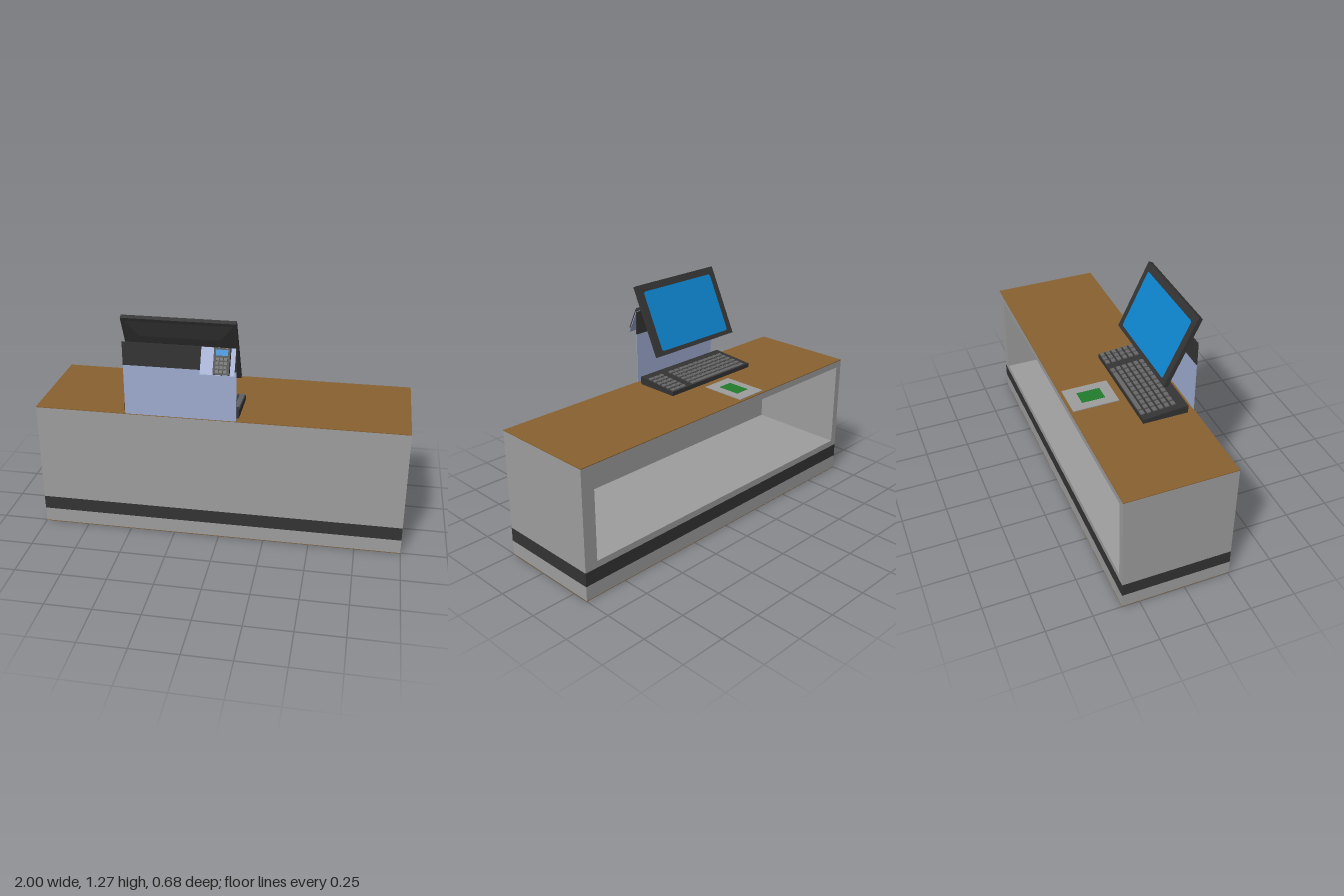
import * as THREE from 'three';
import { mergeGeometries } from 'three/addons/utils/BufferGeometryUtils.js';

const mat = (name, color) => {
  const m = new THREE.MeshStandardMaterial({ color });
  m.name = name;
  return m;
};

export function createModel() {
  const grey = mat('counterGrey', 0x9e9e9e);
  const dark = mat('darkPlastic', 0x343434);
  const wood = mat('wood', 0x89612f);
  const panelBlue = mat('panelBlue', 0xa0add2);
  const screenBlue = mat('screenBlue', 0x0e85cd);
  const keyGrey = mat('keyGrey', 0x666666);
  const green = mat('padGreen', 0x227d2c);

  const model = new THREE.Group();
  model.name = 'serviceCounter';

  const group = (name, parent = model) => {
    const g = new THREE.Group();
    g.name = name;
    parent.add(g);
    return g;
  };
  const add = (name, geo, material, parent) => {
    const mesh = new THREE.Mesh(geo, material);
    mesh.name = name;
    parent.add(mesh);
    return mesh;
  };
  // Box given by its lower and upper bounds on each axis
  const boxGeo = (x0, x1, y0, y1, z0, z1) =>
    new THREE.BoxGeometry(x1 - x0, y1 - y0, z1 - z0)
      .translate((x0 + x1) / 2, (y0 + y1) / 2, (z0 + z1) / 2);
  const box = (name, material, parent, ...b) => add(name, boxGeo(...b), material, parent);

  // Counter: plinth, stripe and a hollow cabinet open at the back
  const BACK = -0.345, FRONT = 0.255;
  const counter = group('counter');
  box('underside', wood, counter, -1, 1, 0, 0.003, BACK, FRONT);
  box('plinth', grey, counter, -1, 1, 0.003, 0.083, BACK, FRONT);
  box('stripe', dark, counter, -1, 1, 0.083, 0.16, BACK, FRONT);
  box('cabinetFloor', grey, counter, -1, 1, 0.16, 0.197, BACK, FRONT);
  box('cabinetRoof', grey, counter, -1, 1, 0.68, 0.716, BACK, FRONT);
  box('leftWall', grey, counter, 0.925, 1, 0.197, 0.68, BACK, FRONT);
  box('rightWall', grey, counter, -1, -0.96, 0.197, 0.68, BACK, FRONT);
  box('frontWall', grey, counter, -0.96, 0.925, 0.197, 0.68, 0.215, FRONT);
  box('worktop', wood, counter, -1, 1, 0.716, 0.72, BACK, FRONT);

  // Pad on the worktop
  const pad = group('counterPad');
  box('padPlate', grey, pad, -0.295, -0.11, 0.72, 0.724, -0.33, -0.075);
  box('padCentre', green, pad, -0.245, -0.16, 0.724, 0.726, -0.263, -0.135);

  // Upright divider with a dark upper band
  const divider = group('divider');
  box('dividerPanel', panelBlue, divider, -0.5, 0.097, 0.72, 1.0, 0.252, 0.256);
  box('dividerBand', dark, divider, -0.5, 0.097, 1.0, 1.128, 0.251, 0.257);

  // Monitor: leans forward, screen faces back and up
  const monitor = group('monitor');
  monitor.position.set(-0.2, 1.087, 0.175);
  monitor.rotation.x = 0.445;
  box('monitorCase', dark, monitor, -0.298, 0.298, -0.2, 0.2, -0.012, 0.012);

  const shell = new THREE.BoxGeometry(0.56, 0.36, 0.012);
  const p = shell.attributes.position;
  for (let i = 0; i < p.count; i++) {
    if (p.getZ(i) > 0) p.setXY(i, p.getX(i) * 0.75, p.getY(i) * 0.5);
  }
  shell.computeVertexNormals();
  add('monitorBack', shell, dark, monitor).position.z = 0.018;

  // Rounded screen plate
  const w = 0.26, h = 0.168, r = 0.014;
  const s = new THREE.Shape();
  s.absarc(w - r, h - r, r, 0, Math.PI / 2);
  s.absarc(r - w, h - r, r, Math.PI / 2, Math.PI);
  s.absarc(r - w, r - h, r, Math.PI, Math.PI * 1.5);
  s.absarc(w - r, r - h, r, Math.PI * 1.5, Math.PI * 2);
  const screen = add('monitorScreen', new THREE.ShapeGeometry(s, 6), screenBlue, monitor);
  screen.rotation.y = Math.PI;
  screen.position.set(0, -0.008, -0.0135);

  // Mount and hooked bracket behind the monitor
  box('monitorMount', dark, monitor, -0.05, 0.05, -0.04, 0.035, 0.012, 0.05);
  box('monitorBracket', panelBlue, monitor, -0.09, 0.09, -0.072, 0.068, 0.05, 0.054);
  box('bracketLip', panelBlue, monitor, -0.09, 0.09, -0.072, -0.068, 0.034, 0.05);

  // Payment terminal on a sloping plate at the front
  const terminal = group('paymentTerminal');
  terminal.position.set(0.03, 1.071, 0.299);
  terminal.rotation.x = -0.434;
  box('terminalPlate', panelBlue, terminal, -0.112, 0.066, -0.07, 0.07, -0.017, -0.013);
  box('terminalBody', dark, terminal, -0.042, 0.042, -0.068, 0.068, -0.013, 0.013);
  box('terminalScreen', screenBlue, terminal, -0.031, 0.031, 0.029, 0.059, 0.013, 0.0145);
  const buttons = [];
  for (let row = 0; row < 4; row++) {
    for (let col = -1; col <= 1; col++) {
      const x = col * 0.021, y = 0.012 - row * 0.021;
      buttons.push(boxGeo(x - 0.008, x + 0.008, y - 0.007, y + 0.007, 0.013, 0.017));
    }
  }
  add('terminalButtons', mergeGeometries(buttons), keyGrey, terminal);

  // Keyboard: wedge body, higher toward the divider
  const keyboard = group('keyboard');
  const side = new THREE.Shape([[-0.035, 0.72], [0.215, 0.72], [0.215, 0.764], [-0.035, 0.744]]
    .map(([z, y]) => new THREE.Vector2(z, y)));
  const wedge = new THREE.ExtrudeGeometry(side, { depth: 0.62, bevelEnabled: false });
  wedge.rotateY(-Math.PI / 2).translate(0.105, 0, 0);
  add('keyboardBody', wedge, dark, keyboard);

  // Keys sit on the sloped top
  const keys = [];
  const key = (x, z, width) => {
    const y = 0.744 + (z + 0.035) * 0.08;
    keys.push(new THREE.BoxGeometry(width, 0.014, 0.022).rotateX(-0.08).translate(x, y, z));
  };
  key(-0.265, -0.02, 0.34);
  key(-0.46, -0.02, 0.03);
  key(-0.07, -0.02, 0.03);
  for (let row = 0; row < 6; row++) {
    const z = -0.02 + row * 0.034;
    if (row > 0) for (let i = 0; i < 11; i++) key(-0.463 + i * 0.0395, z, 0.029);
    for (let i = 0; i < 3; i++) key(0.012 + i * 0.037, z, 0.027);
  }
  add('keyboardKeys', mergeGeometries(keys), keyGrey, keyboard);

  return model;
}
